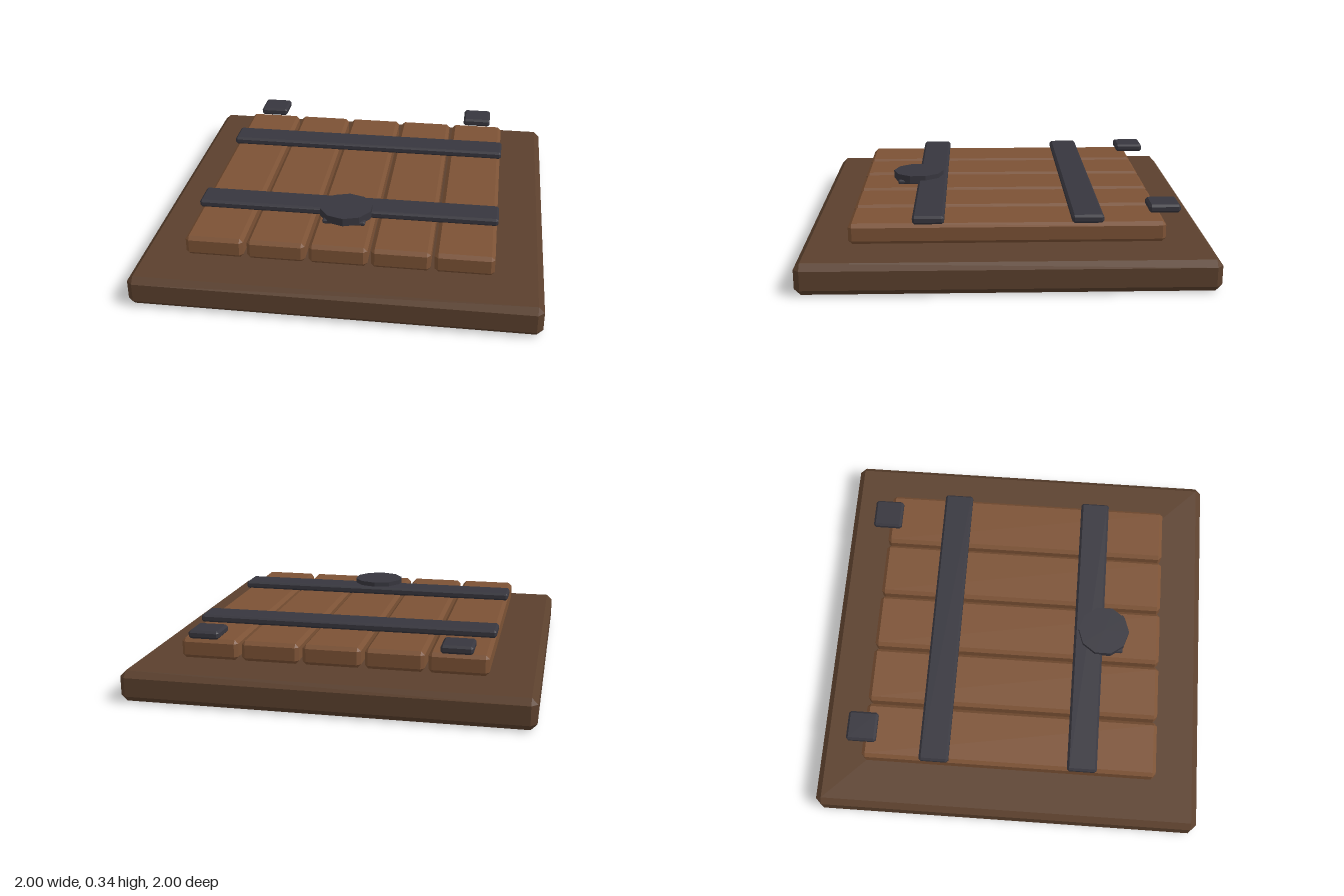
import * as THREE from 'three';
import { ConvexGeometry } from 'three/addons/geometries/ConvexGeometry.js';

const mat = (name, color) => {
  const m = new THREE.MeshStandardMaterial({ color });
  m.name = name;
  return m;
};

// Box with every edge and corner cut by a flat chamfer c
function chamferBox(w, h, d, c) {
  const points = [];
  for (const x of [-1, 1]) for (const y of [-1, 1]) for (const z of [-1, 1]) {
    for (let axis = 0; axis < 3; axis++) {
      const inset = [c, c, c];
      inset[axis] = 0;
      points.push(new THREE.Vector3(
        x * (w / 2 - inset[0]), y * (h / 2 - inset[1]), z * (d / 2 - inset[2])));
    }
  }
  return new ConvexGeometry(points);
}

export function createModel() {
  const group = new THREE.Group();
  group.name = 'trapdoor';
  const darkWood = mat('dark wood', 0x5b402d);
  const wood = mat('plank wood', 0x7c5235);
  const iron = mat('dark iron', 0x37363e);

  const add = (name, geometry, material, x, y, z) => {
    const mesh = new THREE.Mesh(geometry, material);
    mesh.name = name;
    mesh.position.set(x, y, z);
    group.add(mesh);
  };

  // Base slab
  add('base', chamferBox(2, 0.154, 2, 0.03), darkWood, 0, 0.077, 0);

  // Five planks
  const plank = chamferBox(0.29, 0.102, 1.535, 0.018);
  for (let i = -2; i <= 2; i++) add('plank', plank, wood, i * 0.308, 0.22, 0);

  // Iron bands across the planks
  const band = chamferBox(1.535, 0.041, 0.154, 0.011);
  for (const z of [-0.387, 0.382]) add('ironBand', band, iron, 0, 0.29, z);

  // Hinges at the back
  const hinge = chamferBox(0.154, 0.041, 0.154, 0.011);
  for (const x of [-0.615, 0.615]) add('hinge', hinge, iron, x, 0.315, -0.77);

  // Pull: ten-sided disc on a square plate
  add('pullPlate', chamferBox(0.215, 0.022, 0.215, 0.006), iron, 0, 0.295, 0.46);
  const disc = new THREE.CylinderGeometry(0.135, 0.135, 0.041, 10).toNonIndexed();
  disc.computeVertexNormals();
  add('pullDisc', disc, iron, 0, 0.314, 0.461);

  return group;
}
